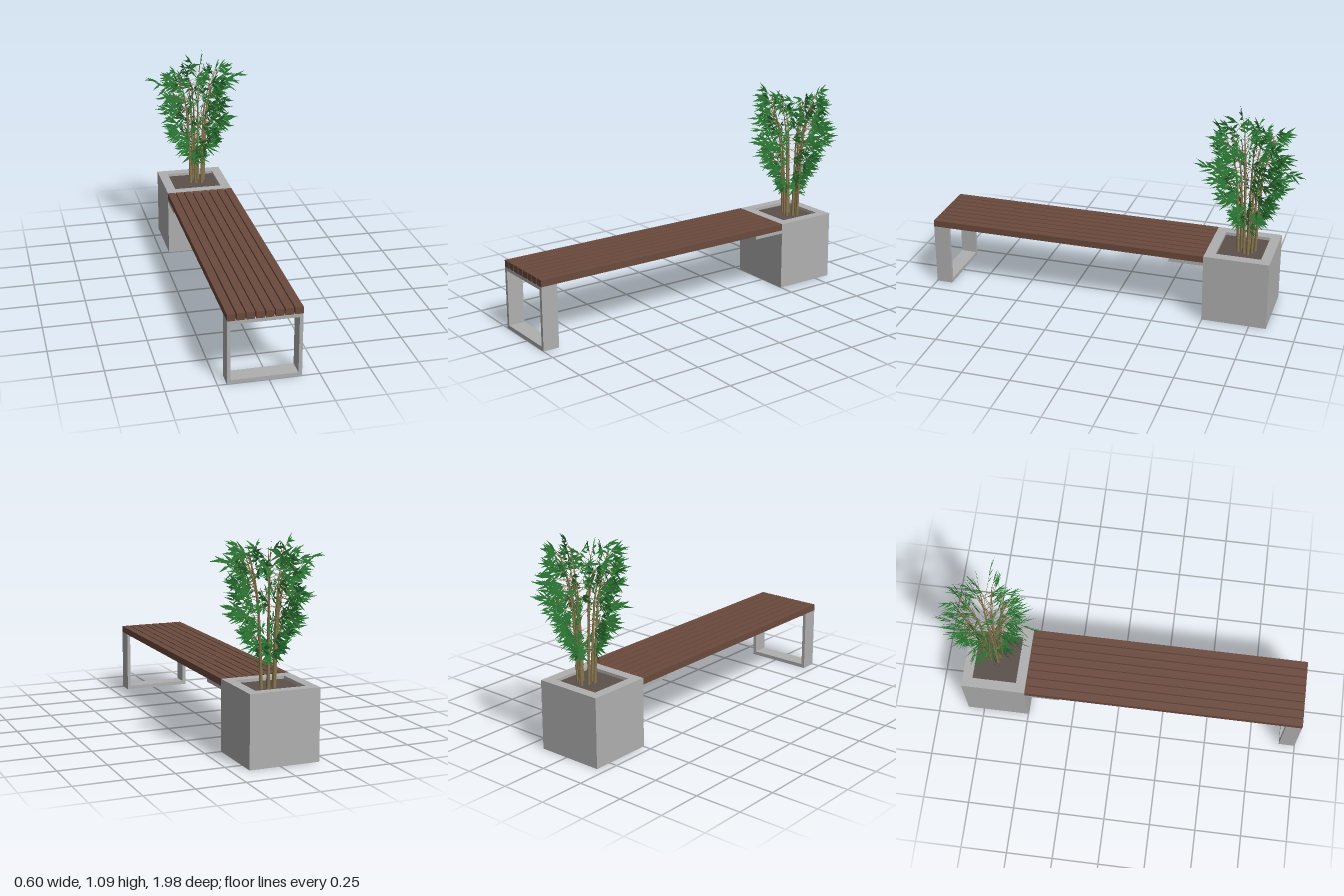
import * as THREE from 'three';
import { mergeGeometries } from 'three/addons/utils/BufferGeometryUtils.js';

const X0 = -0.205, X1 = 0.162, W = X1 - X0, CX = (X0 + X1) / 2;
const SEAT_TOP = 0.368, SEAT_BOTTOM = 0.333;
const CLUMP = new THREE.Vector3(0, 0.35, -0.69);

const concrete = new THREE.MeshStandardMaterial({ color: 0xb0b0b0 });
const wood = new THREE.MeshStandardMaterial({ color: 0x6b4a3e });
const soilMat = new THREE.MeshStandardMaterial({ color: 0x5c504b });
const caneMat = new THREE.MeshStandardMaterial({ color: 0x8c7a50 });
const leafMat = new THREE.MeshStandardMaterial({ color: 0x2f8038, side: THREE.DoubleSide });

let seed = 7;
function rand(a = 0, b = 1) {
  seed = (seed * 16807) % 2147483647;
  return a + (b - a) * (seed / 2147483647);
}

function add(group, name, geometry, material) {
  const mesh = new THREE.Mesh(geometry, material);
  mesh.name = name;
  group.add(mesh);
  return mesh;
}

// Box given by its minimum and maximum corners
function box(group, name, material, a, b) {
  const mesh = add(group, name, new THREE.BoxGeometry(b[0] - a[0], b[1] - a[1], b[2] - a[2]), material);
  mesh.position.set((a[0] + b[0]) / 2, (a[1] + b[1]) / 2, (a[2] + b[2]) / 2);
}

function rectPath(path, x0, y0, x1, y1) {
  path.moveTo(x0, y0).lineTo(x1, y0).lineTo(x1, y1).lineTo(x0, y1).closePath();
  return path;
}

// Rectangular frame extruded along +z
function frameGeometry(outer, inner, depth) {
  const shape = rectPath(new THREE.Shape(), ...outer);
  shape.holes.push(rectPath(new THREE.Path(), ...inner));
  return new THREE.ExtrudeGeometry(shape, { depth, bevelEnabled: false });
}

// Tapered rod between two points
function rod(a, b, r0, r1, sides) {
  const dir = b.clone().sub(a);
  const g = new THREE.CylinderGeometry(r1, r0, dir.length(), sides, 1, sides < 5);
  g.applyQuaternion(new THREE.Quaternion().setFromUnitVectors(new THREE.Vector3(0, 1, 0), dir.normalize()));
  const mid = a.clone().add(b).multiplyScalar(0.5);
  return g.translate(mid.x, mid.y, mid.z);
}

// Slim pointed leaf lying in the vertical plane of its heading
function addLeaf(positions, base, heading, pitch, length, width) {
  const c = Math.cos(heading), s = Math.sin(heading);
  const at = (u, v) => {
    const out = u * Math.cos(pitch) - v * Math.sin(pitch);
    return [base.x + out * c, base.y + u * Math.sin(pitch) + v * Math.cos(pitch), base.z + out * s];
  };
  const root = at(0, 0), tip = at(length, 0);
  const low = at(length * 0.35, -width / 2), high = at(length * 0.35, width / 2);
  positions.push(...root, ...low, ...high, ...low, ...tip, ...high);
}

// Foliage radius at a given height
function foliageRadius(y) {
  const profile = [[0.48, 0.09], [0.6, 0.17], [0.7, 0.23], [0.8, 0.26], [0.95, 0.25], [1.08, 0.22]];
  for (let i = 1; i < profile.length; i++) {
    const [y0, r0] = profile[i - 1], [y1, r1] = profile[i];
    if (y <= y1) return r0 + (r1 - r0) * Math.max(0, (y - y0) / (y1 - y0));
  }
  return 0.22;
}

function createBamboo() {
  const bamboo = new THREE.Group();
  bamboo.name = 'bamboo';
  const canes = [], twigs = [], leaves = [];

  // Twig ending in a fan of leaves
  function spray(curve, heightOnCane, angle, radius, y, count = 5) {
    const start = curve.getPoint(heightOnCane);
    const end = new THREE.Vector3(CLUMP.x + Math.cos(angle) * radius, y, CLUMP.z + Math.sin(angle) * radius);
    const heading = Math.atan2(end.z - start.z, end.x - start.x);
    twigs.push(rod(start, end, 0.0016, 0.0008, 3));
    for (let i = 0; i < count; i++) {
      const base = end.clone().lerp(start, i * 0.09);
      const pitch = i === 0 ? rand(-0.15, 0.25) : (i % 2 ? 1 : -1) * rand(0.25, 0.85);
      addLeaf(leaves, base, heading, pitch, rand(0.05, 0.075), rand(0.011, 0.015));
    }
  }

  const caneCount = 8;
  for (let k = 0; k < caneCount; k++) {
    const angle = (k + 0.5) / caneCount * Math.PI * 2 + rand(-0.15, 0.15);
    const top = rand(0.95, 1.02);
    const at = (r, y) => new THREE.Vector3(CLUMP.x + Math.cos(angle) * r, y, CLUMP.z + Math.sin(angle) * r);
    const foot = k % 2 ? 0.045 : 0.032;
    const curve = new THREE.CatmullRomCurve3([at(foot, 0.35), at(foot + 0.01, 0.6), at(foot + 0.03, 0.82), at(0.12, top)]);

    // Jointed cane, each segment ending in a node ring
    const joints = 9;
    for (let i = 0; i < joints; i++) {
      const a = curve.getPoint(i / joints), b = curve.getPoint((i + 1) / joints);
      const r = 0.0085 * (1 - 0.8 * i / joints);
      canes.push(rod(a, b, r, r * 0.86, 7));
      canes.push(rod(b.clone().lerp(a, 0.04), b.clone().lerp(a, -0.04), r * 1.1, r * 1.1, 7));
    }

    // Twigs spread over the upper two thirds of the cane
    const count = 24;
    for (let i = 0; i < count; i++) {
      const y = 0.5 + 0.53 * (i + rand()) / count;
      const t = THREE.MathUtils.clamp((y - 0.4) / (top - 0.35), 0.08, 0.97);
      const reach = foliageRadius(y) - 0.06;
      spray(curve, t, angle + rand(-0.8, 0.8), reach * Math.sqrt(rand(0.25, 1)), y);
    }

    // Tip tuft and the widest outer sprays
    spray(curve, 0.97, angle, 0.155, top + 0.03, 5);
    if (k % 2) spray(curve, 0.7, Math.round(angle / (Math.PI / 2)) * Math.PI / 2, 0.235, k % 4 === 1 ? 0.8 : 0.98);
  }

  const leafGeometry = new THREE.BufferGeometry();
  leafGeometry.setAttribute('position', new THREE.Float32BufferAttribute(leaves, 3));
  leafGeometry.computeVertexNormals();
  add(bamboo, 'canes', mergeGeometries(canes), caneMat);
  add(bamboo, 'twigs', mergeGeometries(twigs), caneMat);
  add(bamboo, 'leaves', leafGeometry, leafMat);
  return bamboo;
}

export function createModel() {
  const model = new THREE.Group();
  model.name = 'planterBench';

  // Seat slats
  const slats = 8, gap = 0.006, slatWidth = (W - gap * (slats - 1)) / slats;
  for (let i = 0; i < slats; i++) {
    const x = X0 + i * (slatWidth + gap);
    box(model, 'seatSlat', wood, [x, SEAT_BOTTOM, -0.497], [x + slatWidth, SEAT_TOP, 1]);
  }

  // Open frame leg at the front end
  const leg = add(model, 'legFrame', frameGeometry([X0, 0, X1, SEAT_BOTTOM], [X0 + 0.018, 0.02, X1 - 0.018, 0.315], 0.087), concrete);
  leg.position.z = 0.913;

  // Ledge carrying the seat at the planter
  box(model, 'seatLedge', concrete, [X0, 0.315, -0.5], [X1, SEAT_BOTTOM, -0.315]);

  // Planter: solid lower block with a rim around the soil
  const z0 = -0.84, z1 = -0.498, soilY = 0.352;
  const half = W / 2, halfZ = (z1 - z0) / 2;
  const walls = add(model, 'planterWalls',
    frameGeometry([-half, -halfZ, half, halfZ], [-half + 0.052, -halfZ + 0.052, half - 0.052, halfZ - 0.052], SEAT_TOP), concrete);
  walls.rotation.x = -Math.PI / 2;
  walls.position.set(CX, 0, (z0 + z1) / 2);
  box(model, 'planterFloor', concrete, [X0 + 0.05, 0, z0 + 0.05], [X1 - 0.05, 0.02, z1 - 0.05]);
  box(model, 'soil', soilMat, [X0 + 0.051, 0.3, z0 + 0.051], [X1 - 0.051, soilY, z1 - 0.051]);

  model.add(createBamboo());
  return model;
}
